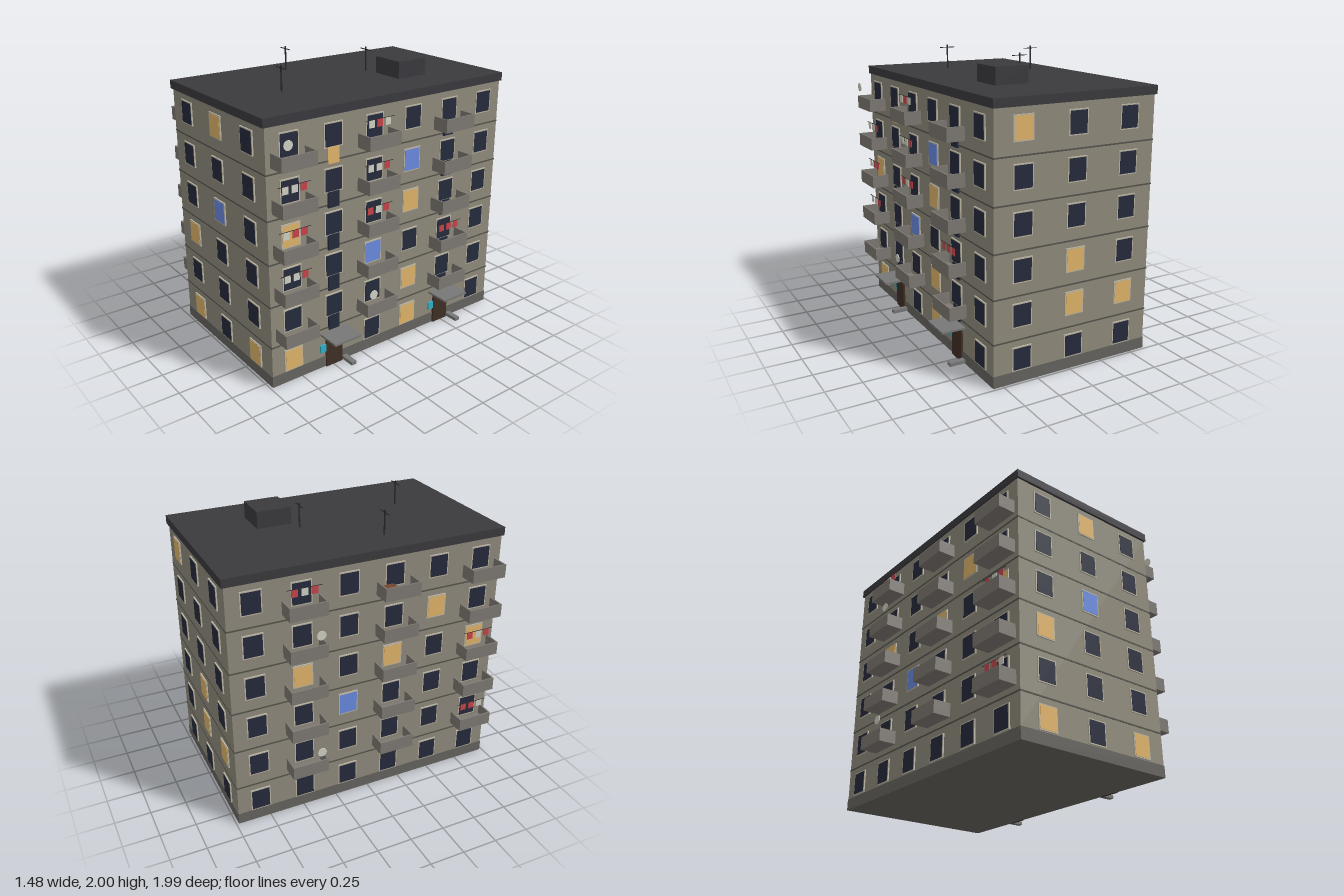
import * as THREE from 'three';

const mat = (color) => new THREE.MeshStandardMaterial({ color });
const M = {
  wall: mat(0x8f8a7c), roof: mat(0x3a393d), seam: mat(0x55534c), plinth: mat(0x66645f),
  frame: mat(0xbbb5a2), D: mat(0x262b3c), L: mat(0xe0b46a), B: mat(0x6a8ae0),
  balcony: mat(0x7d7872), canopy: mat(0x777777), door: mat(0x3f2f24), panel: mat(0x30b0c8),
  white: mat(0xd0d0c4), red: mat(0xc8444a), crate: mat(0x74452f), metal: mat(0x2a2a2c),
};
const FLOOR = 0.295, HALF_X = 0.59, HALF_Z = 0.98, TOP = 6 * FLOOR;
const SIDE_COLS = [-2.5, -1.5, -0.5, 0.5, 1.5, 2.5].map((i) => i * 0.327);
const END_COLS = [-0.39, 0, 0.39];

function box(parent, name, material, w, h, d, x, y, z) {
  const mesh = new THREE.Mesh(new THREE.BoxGeometry(w, h, d), material);
  mesh.name = name;
  mesh.position.set(x, y, z);
  parent.add(mesh);
  return mesh;
}

// A facade group: local x runs along the wall, local z points outwards, z = 0 on the wall.
// Rows of letters run from the top floor down: D dark, L lit, B blue, - none.
function facade(parent, name, angle, depth, cols, rows) {
  const g = new THREE.Group();
  g.name = name;
  g.rotation.y = angle;
  g.position.set(Math.sin(angle) * depth, 0, Math.cos(angle) * depth);
  rows.forEach((row, r) => [...row].forEach((c, i) => {
    if (c === '-') return;
    const y = (5 - r) * FLOOR + 0.167;
    box(g, 'windowFrame', M.frame, 0.142, 0.162, 0.014, cols[i], y, 0.002);
    box(g, 'windowPane', M[c], 0.126, 0.146, 0.014, cols[i], y, 0.004);
  }));
  parent.add(g);
  return g;
}

// Open tray balcony
function balcony(parent, u, floor) {
  const g = new THREE.Group(), w = 0.257, d = 0.125, t = 0.01, h = 0.093;
  g.name = 'balcony';
  g.position.set(u, floor * FLOOR + 0.042, 0);
  box(g, 'balconyFloor', M.balcony, w, 0.015, d, 0, 0.0075, d / 2);
  box(g, 'balconyFront', M.balcony, w, h, t, 0, h / 2, d - t / 2);
  for (const s of [-1, 1]) box(g, 'balconySide', M.balcony, t, h, d, s * (w - t) / 2, h / 2, d / 2);
  parent.add(g);
}

// Clothes line with three pieces of washing
function laundry(parent, u, floor, colors) {
  const y = floor * FLOOR;
  box(parent, 'clothesLine', M.metal, 0.235, 0.003, 0.003, u, y + 0.224, 0.06);
  [...colors].forEach((c, i) =>
    box(parent, 'laundry', c === 'r' ? M.red : M.white, 0.044, 0.05, 0.004, u + (i - 1) * 0.067, y + 0.198, 0.06));
}

function dish(parent, u, floor) {
  const mesh = new THREE.Mesh(new THREE.CylinderGeometry(0.032, 0.032, 0.005, 16), M.white);
  mesh.name = 'satelliteDish';
  mesh.rotation.x = Math.PI / 2;
  mesh.position.set(u, floor * FLOOR + 0.205, 0.124);
  parent.add(mesh);
}

// Door, lamp, canopy, notice panel and bench
function entrance(parent, u) {
  const g = new THREE.Group();
  g.name = 'entrance';
  g.position.x = u;
  box(g, 'door', M.door, 0.136, 0.225, 0.02, 0, 0.1125, 0.004);
  box(g, 'lamp', M.L, 0.035, 0.018, 0.02, 0, 0.236, 0.008);
  box(g, 'canopy', M.canopy, 0.217, 0.014, 0.17, 0, 0.257, 0.085);
  box(g, 'noticePanel', M.panel, 0.046, 0.055, 0.012, -0.092, 0.148, 0.006);
  box(g, 'bench', M.canopy, 0.04, 0.024, 0.115, 0.09, 0.018, 0.0575);
  parent.add(g);
}

export function createModel() {
  const model = new THREE.Group();
  model.name = 'apartmentBlock';
  const b = new THREE.Group();
  b.name = 'building';
  b.position.x = -0.025;
  model.add(b);

  // Body, plinth, floor seams and roof slab
  box(b, 'walls', M.wall, 2 * HALF_X, TOP - 0.08, 2 * HALF_Z, 0, (TOP + 0.08) / 2, 0);
  box(b, 'plinth', M.plinth, 2 * HALF_X + 0.006, 0.08, 2 * HALF_Z + 0.006, 0, 0.04, 0);
  for (let i = 1; i < 6; i++)
    box(b, 'floorSeam', M.seam, 2 * HALF_X + 0.006, 0.01, 2 * HALF_Z + 0.006, 0, i * FLOOR, 0);
  box(b, 'roof', M.roof, 1.2, 0.058, 1.99, 0, TOP + 0.029, 0);

  // Rooftop hut and aerials
  box(b, 'roofHut', M.roof, 0.245, 0.118, 0.245, 0.195, 1.887, -0.393);
  for (const [x, z] of [[-0.38, 0.195], [-0.02, -0.25], [0.13, 0.56]]) {
    box(b, 'aerialMast', M.metal, 0.008, 0.172, 0.008, x, 1.914, z);
    box(b, 'aerialBar', M.metal, 0.116, 0.005, 0.005, x, 1.982, z);
  }

  // End walls
  facade(b, 'frontFacade', 0, HALF_Z, END_COLS, ['DLD', 'DDD', 'DBD', 'LDD', 'DDD', 'LDL']);
  facade(b, 'backFacade', Math.PI, HALF_Z, END_COLS, ['LDD', 'DDD', 'DDD', 'DLD', 'DLL', 'DDD']);

  // Entrance side with stair windows
  const C = SIDE_COLS;
  const entry = facade(b, 'entranceFacade', Math.PI / 2, HALF_X, C,
    ['DDDDDD', 'DDDBDD', 'LDDLDD', 'DDBDDD', 'DDDLDD', 'L-DL-D']);
  for (const i of [1, 4]) {
    entrance(entry, C[i]);
    for (let f = 1; f < 6; f++)
      box(entry, 'stairWindow', i === 1 && f === 5 ? M.L : M.D, 0.087, 0.108, 0.016, C[i], f * FLOOR + 0.036, 0.004);
  }
  for (const [i, f, colors] of [[0, 4, 'wwr'], [0, 3, 'wrr'], [0, 2, 'wwr'],
    [2, 5, 'wrw'], [2, 4, 'wwr'], [2, 3, 'rwr'], [4, 2, 'rrr']]) laundry(entry, C[i], f, colors);
  dish(entry, C[0] - 0.08, 5);
  dish(entry, C[2] - 0.08, 1);

  // Courtyard side
  const yard = facade(b, 'courtyardFacade', -Math.PI / 2, HALF_X, C,
    ['DDDDDD', 'DDDDLD', 'DLDLDL', 'DDBDDD', 'DDDDDD', 'DDDDDD']);
  for (const [i, f, colors] of [[1, 5, 'rwr'], [5, 3, 'rwr'], [5, 1, 'rrw']]) laundry(yard, C[i], f, colors);
  dish(yard, C[1] + 0.08, 4);
  dish(yard, C[1] + 0.08, 1);
  box(yard, 'crate', M.crate, 0.08, 0.06, 0.06, C[3] - 0.065, 5 * FLOOR + 0.087, 0.06);

  // Balconies in every other column of both long sides
  for (let f = 1; f < 6; f++)
    for (const i of [0, 2, 4]) {
      balcony(entry, C[i], f);
      balcony(yard, C[5 - i], f);
    }
  return model;
}
